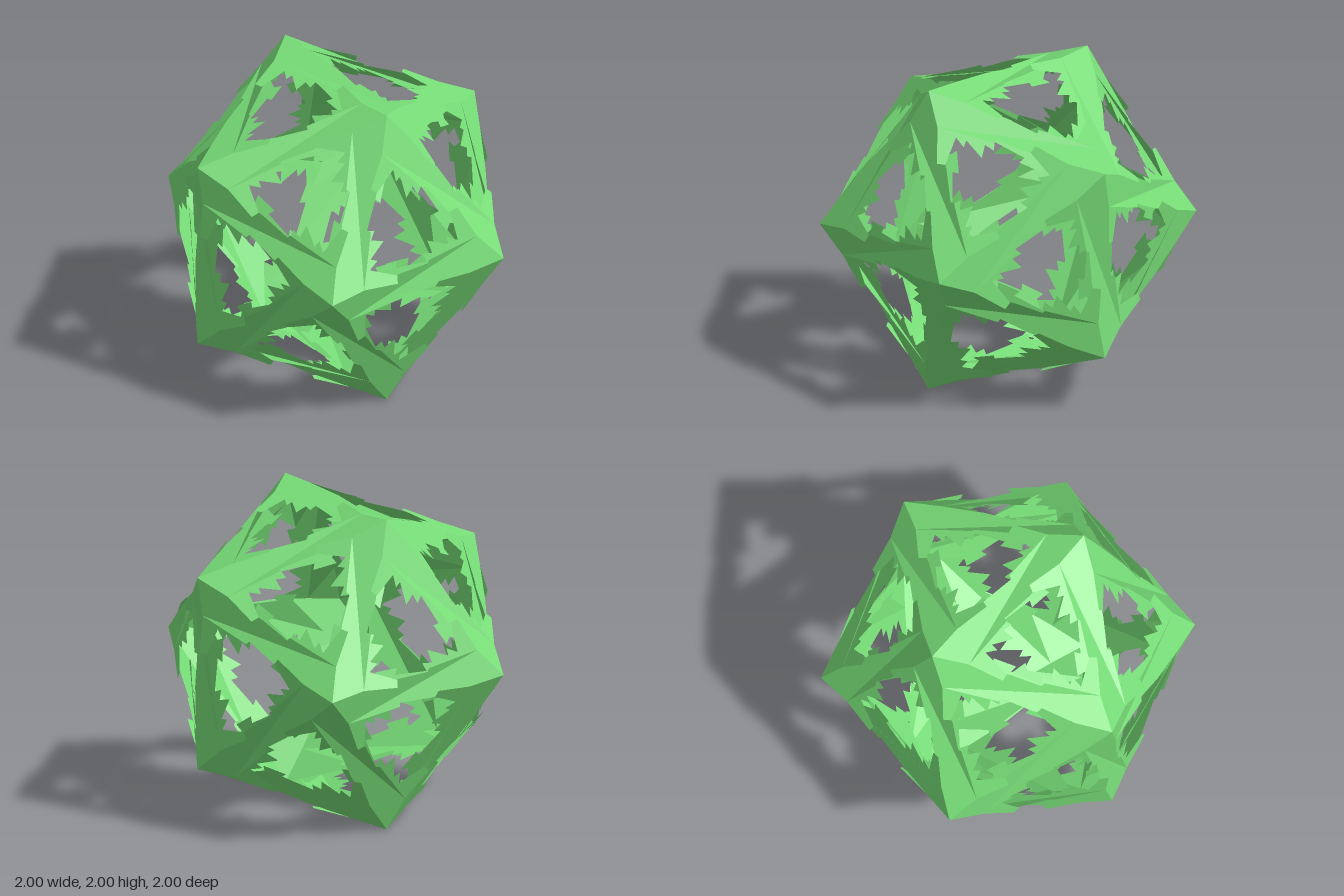
import * as THREE from 'three';

// Outline of one blade: hub tip, barb beside the ridge, toothed inner edge,
// far end, then the plain outer edge back to the hub
const OUTLINE = [
  [0.618, 0], [0.463, 0.172], [0.358, 0.372], [0.31, 0.355], [0.331, 0.174],
  [0.26, 0.205], [0.265, 0.16], [0.13, 0.21], [0.15, 0.13],
  [0.085, 0.135], [0.105, 0.085], [-0.105, 0.085], [-0.09, 0.125],
  [-0.24, 0.115], [-0.22, 0.07], [-0.463, -0.172],
  [-0.105, -0.11], [-0.1, -0.085], [0.105, -0.079], [0.383, -0.041],
];

// The blade lies in a tilted plane, so that pairs cross in a shallow valley
function bladeGeometry() {
  const shape = new THREE.Shape(OUTLINE.map(([x, y]) => new THREE.Vector2(x, y)));
  const geometry = new THREE.ShapeGeometry(shape);
  const p = geometry.attributes.position;
  for (let i = 0; i < p.count; i++) {
    p.setZ(i, 0.9376 + 0.101 * p.getX(i) - 0.2723 * p.getY(i));
  }
  geometry.computeVertexNormals();
  return geometry;
}

export function createModel() {
  const model = new THREE.Group();
  model.name = 'toothedIcosahedralFrame';
  const material = new THREE.MeshStandardMaterial({
    color: 0x77dd77, side: THREE.DoubleSide, flatShading: true,
  });
  const blade = bladeGeometry();
  const hubAxis = new THREE.Vector3(0.618034, 0, 1).normalize();
  const diagonal = new THREE.Vector3(1, 1, 1).normalize();
  const halfTurns = [
    new THREE.Quaternion(),
    new THREE.Quaternion(1, 0, 0, 0),
    new THREE.Quaternion(0, 1, 0, 0),
    new THREE.Quaternion(0, 0, 1, 0),
  ];

  // Twelve hubs, each with five blades turned about its own axis
  for (let k = 0; k < 3; k++) {
    const third = new THREE.Quaternion().setFromAxisAngle(diagonal, (k * 2 * Math.PI) / 3);
    for (const half of halfTurns) {
      const hub = new THREE.Group();
      hub.name = 'hub';
      hub.quaternion.copy(half).multiply(third);
      hub.position.y = 1;
      for (let i = 0; i < 5; i++) {
        const mesh = new THREE.Mesh(blade, material);
        mesh.name = 'blade';
        mesh.quaternion.setFromAxisAngle(hubAxis, (i * 2 * Math.PI) / 5);
        hub.add(mesh);
      }
      model.add(hub);
    }
  }
  return model;
}
